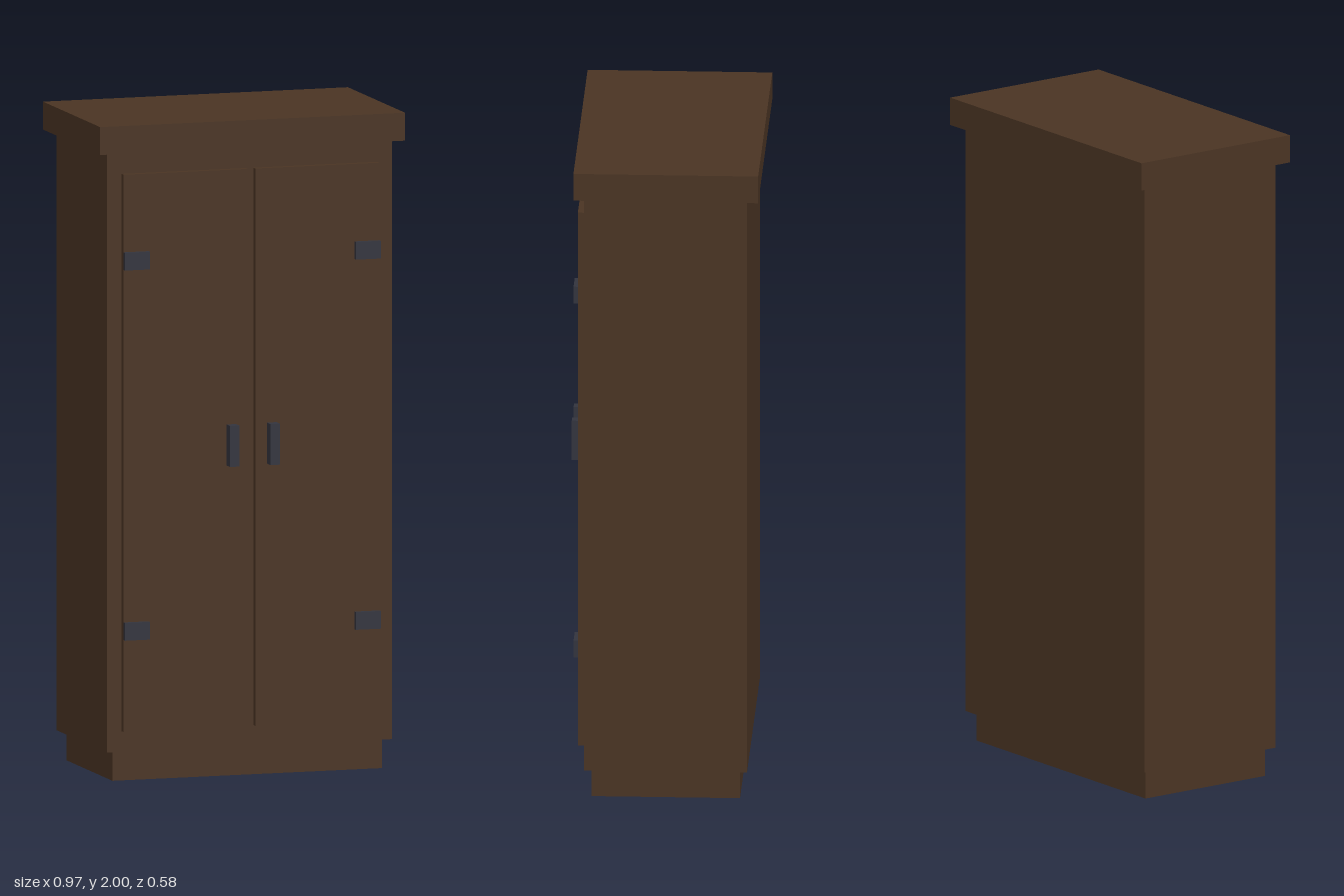
import * as THREE from 'three';

export function createModel() {
  const root = new THREE.Group();
  root.name = 'wardrobe';

  const wood = new THREE.MeshStandardMaterial({ color: 0x4a3423 });
  wood.name = 'dark wood';
  const iron = new THREE.MeshStandardMaterial({ color: 0x33343e });
  iron.name = 'dark iron';
  // the plinth is an open frame, seen from both sides
  const plinthWood = wood;
  plinthWood.side = THREE.DoubleSide;

  // box given by its extents along each axis
  function box(name, material, [x0, x1], [y0, y1], [z0, z1], parent = root) {
    const mesh = new THREE.Mesh(new THREE.BoxGeometry(x1 - x0, y1 - y0, z1 - z0), material);
    mesh.position.set((x0 + x1) / 2, (y0 + y1) / 2, (z0 + z1) / 2);
    mesh.name = name;
    parent.add(mesh);
    return mesh;
  }

  // carcass and overhanging top
  box('body', wood, [-0.452, 0.452], [0.09, 1.915], [-0.255, 0.237]);
  box('top', wood, [-0.483, 0.483], [1.915, 2], [-0.29, 0.267]);

  // recessed plinth: four thin walls, open underneath
  const plinth = new THREE.Group();
  plinth.name = 'plinth';
  root.add(plinth);
  const px = 0.427, back = -0.233, front = 0.215, height = 0.09;
  function wall(name, width, x, z, turn) {
    const mesh = new THREE.Mesh(new THREE.PlaneGeometry(width, height), plinthWood);
    mesh.position.set(x, height / 2, z);
    mesh.rotation.y = turn;
    mesh.name = name;
    plinth.add(mesh);
  }
  const depth = front - back, midZ = (front + back) / 2;
  wall('plinthFront', 2 * px, 0, front, 0);
  wall('plinthBack', 2 * px, 0, back, Math.PI);
  wall('plinthLeft', depth, px, midZ, Math.PI / 2);
  wall('plinthRight', depth, -px, midZ, -Math.PI / 2);

  // doors with their handles and hinges, mirrored about x = 0
  for (const [side, s] of [['left', 1], ['right', -1]]) {
    const door = new THREE.Group();
    door.name = side + 'Door';
    root.add(door);
    const span = (a, b) => (s > 0 ? [a, b] : [-b, -a]);
    box(side + 'DoorPanel', wood, span(0.012, 0.405), [0.153, 1.85], [0.237, 0.257], door);
    box(side + 'Handle', iron, span(0.049, 0.079), [0.95, 1.075], [0.257, 0.29], door);
    for (const [level, y] of [['Lower', 0.46], ['Upper', 1.587]]) {
      box(side + level + 'Hinge', iron, span(0.326, 0.405), [y - 0.027, y + 0.027], [0.257, 0.27], door);
    }
  }
  return root;
}
